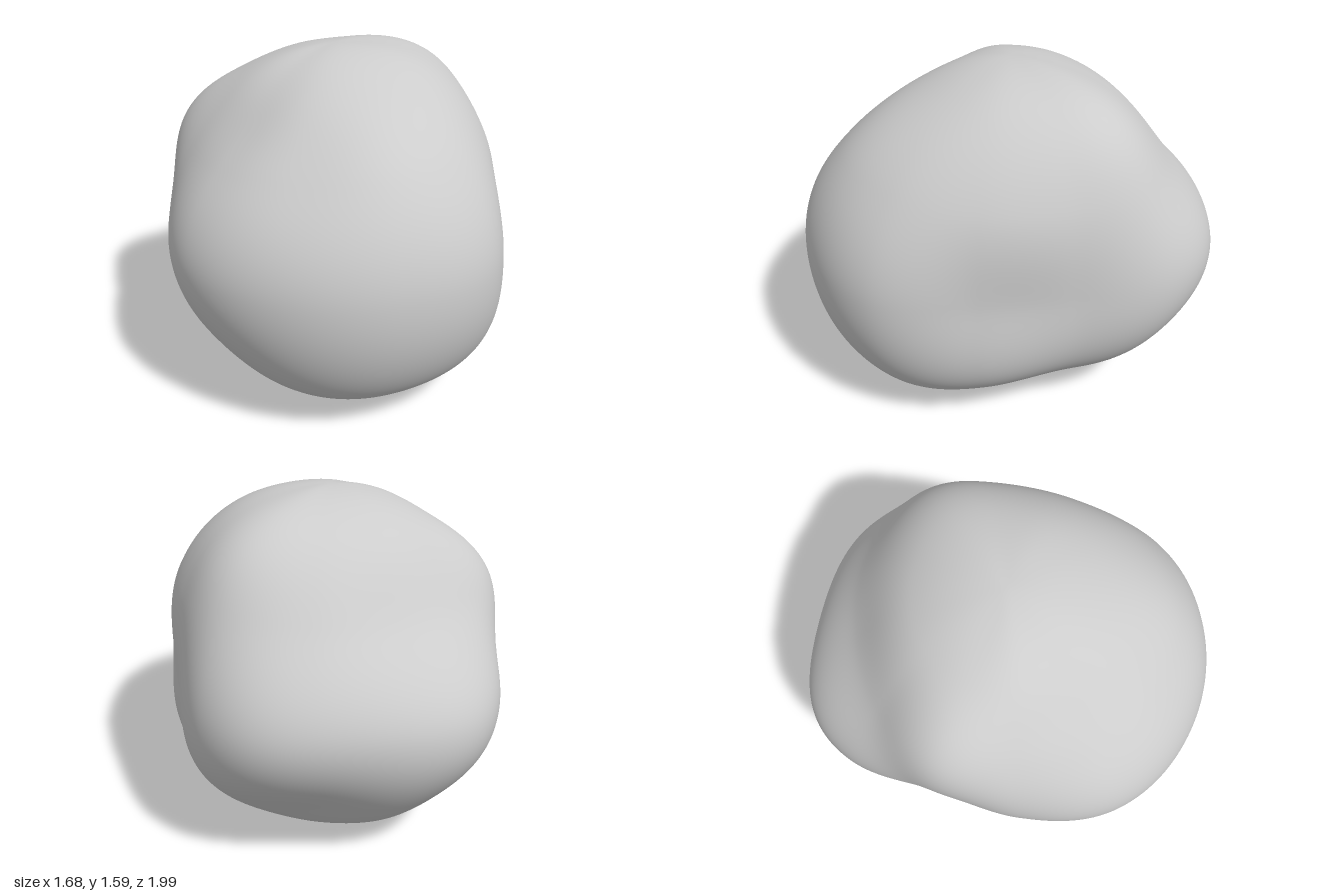
import * as THREE from 'three';
import { mergeVertices } from 'three/addons/utils/BufferGeometryUtils.js';

const STEP = Math.PI / 6;
const CENTRE_HEIGHT = 0.75;

// Radii of the boulder, one row per 30 degrees of latitude (top to bottom),
// one column per 30 degrees of longitude (front, then towards +x)
const TOP = 0.84, BOTTOM = 0.71;
const RADII = [
  [0.84, 0.85, 0.86, 0.86, 0.87, 0.84, 0.82, 0.82, 0.83, 0.83, 0.82, 0.83],
  [0.93, 0.90, 0.84, 0.83, 0.88, 0.84, 0.79, 0.80, 0.87, 0.80, 0.85, 0.90],
  [1.00, 0.97, 0.79, 0.77, 0.90, 0.94, 0.95, 0.89, 0.76, 0.81, 0.93, 0.98],
  [0.98, 0.96, 0.87, 0.82, 0.87, 0.86, 0.91, 0.84, 0.70, 0.76, 0.86, 0.95],
  [0.81, 0.80, 0.77, 0.76, 0.81, 0.84, 0.83, 0.77, 0.70, 0.70, 0.73, 0.78],
];

// Corners and hollows: longitude, latitude, height, width in degrees
const LUMPS = [
  [135, -2, 0.065, 15],
  [195, -5, 0.06, 14],
  [112, -17, 0.035, 14],
  [112, 47, 0.05, 14],
  [40, -40, 0.03, 16],
  [345, -42, 0.03, 16],
  [295, 45, -0.05, 14],
  [335, 35, -0.03, 13],
].map(([lon, lat, height, width]) => ({
  dir: new THREE.Vector3().setFromSphericalCoords(
    1, THREE.MathUtils.degToRad(90 - lat), THREE.MathUtils.degToRad(lon)),
  height,
  width: THREE.MathUtils.degToRad(width),
}));

// Grid lookup that carries on over the poles to the opposite meridian
function radiusAt(row, col) {
  if (row < 0) { row = -row; col += 6; }
  if (row > 6) { row = 12 - row; col += 6; }
  if (row === 0) return TOP;
  if (row === 6) return BOTTOM;
  return RADII[row - 1][((col % 12) + 12) % 12];
}

// Smooth curve through four values
function cubic(a, b, c, d, t) {
  return b + 0.5 * t * (c - a + t * (2 * a - 5 * b + 4 * c - d + t * (3 * (b - c) + d - a)));
}

function radius(dir) {
  const u = Math.acos(THREE.MathUtils.clamp(dir.y, -1, 1)) / STEP;
  const v = Math.atan2(dir.x, dir.z) / STEP;
  const row = Math.min(Math.floor(u), 5), col = Math.floor(v);
  const rows = [-1, 0, 1, 2].map((i) =>
    cubic(...[-1, 0, 1, 2].map((j) => radiusAt(row + i, col + j)), v - col));
  let r = cubic(...rows, u - row);
  for (const lump of LUMPS) {
    r += lump.height * Math.exp(-0.5 * (dir.angleTo(lump.dir) / lump.width) ** 2);
  }
  return r;
}

export function createModel() {
  const group = new THREE.Group();
  const stone = new THREE.MeshStandardMaterial({ color: 0xcccccc });
  stone.name = 'stone grey';

  // Lumpy boulder: an even sphere pushed in and out
  let geometry = new THREE.IcosahedronGeometry(1, 40);
  geometry.deleteAttribute('normal');
  geometry.deleteAttribute('uv');
  geometry = mergeVertices(geometry, 1e-5);
  const pos = geometry.attributes.position;
  const p = new THREE.Vector3();
  for (let i = 0; i < pos.count; i++) {
    p.fromBufferAttribute(pos, i).normalize();
    p.multiplyScalar(radius(p));
    pos.setXYZ(i, p.x, p.y + CENTRE_HEIGHT, p.z);
  }
  geometry.computeVertexNormals();

  const boulder = new THREE.Mesh(geometry, stone);
  boulder.name = 'boulder';
  group.add(boulder);
  return group;
}
